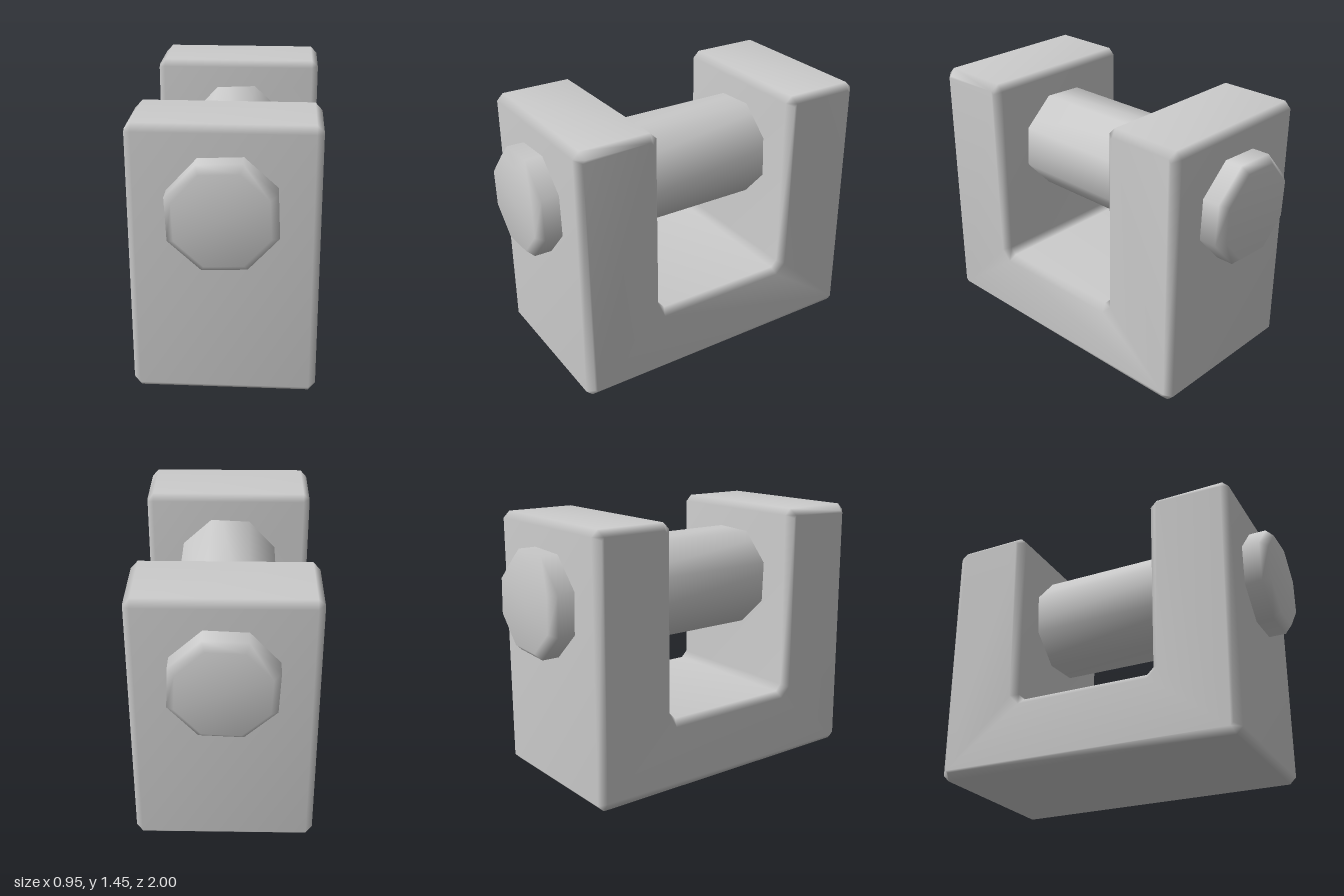
import * as THREE from 'three';
import { mergeVertices } from 'three/addons/utils/BufferGeometryUtils.js';

const BEVEL = 0.036;
const material = new THREE.MeshStandardMaterial({ color: 0xcccccc });

// Weld the vertices so the narrow chamfers shade as soft edges
function soften(geometry) {
  geometry.deleteAttribute('uv');
  geometry.deleteAttribute('normal');
  const welded = mergeVertices(geometry, 1e-4);
  welded.computeVertexNormals();
  return welded;
}

function addPart(group, name, geometry) {
  const mesh = new THREE.Mesh(soften(geometry), material);
  mesh.name = name;
  group.add(mesh);
}

// Closed outline with every corner cut by the same distance
function chamferedShape(corners, cut) {
  const points = [];
  corners.forEach((corner, i) => {
    const n = corners.length;
    for (const other of [corners[(i + n - 1) % n], corners[(i + 1) % n]]) {
      const step = other.clone().sub(corner).setLength(cut);
      points.push(corner.clone().add(step));
    }
  });
  return new THREE.Shape(points);
}

export function createModel() {
  const group = new THREE.Group();
  group.name = 'shackle';

  // U-shaped bracket: side profile extruded across the width
  const outer = 0.865, inner = 0.405, top = 1.45, floor = 0.4, width = 0.95;
  const corners = [
    [-outer, 0], [outer, 0], [outer, top], [inner, top],
    [inner, floor], [-inner, floor], [-inner, top], [-outer, top],
  ].map(([z, y]) => new THREE.Vector2(z, y));
  const depth = width - 2 * BEVEL;
  const bracket = new THREE.ExtrudeGeometry(chamferedShape(corners, BEVEL), {
    depth, bevelEnabled: true, bevelSegments: 1,
    bevelThickness: BEVEL, bevelSize: BEVEL, bevelOffset: -BEVEL,
  });
  bracket.translate(0, 0, -depth / 2);
  bracket.rotateY(-Math.PI / 2);
  addPart(group, 'bracket', bracket);

  // Eight-sided pin with chamfered ends, running front to back
  const r = 0.293;
  const profile = [
    [0, -1], [r - 0.04, -1], [r, -0.96], [r, 0.96], [r - 0.04, 1], [0, 1],
  ].map(([x, y]) => new THREE.Vector2(x, y));
  const pin = new THREE.LatheGeometry(profile, 8, THREE.MathUtils.degToRad(25));
  pin.rotateX(Math.PI / 2);
  pin.translate(0, 1.025, 0);
  addPart(group, 'pin', pin);

  return group;
}
